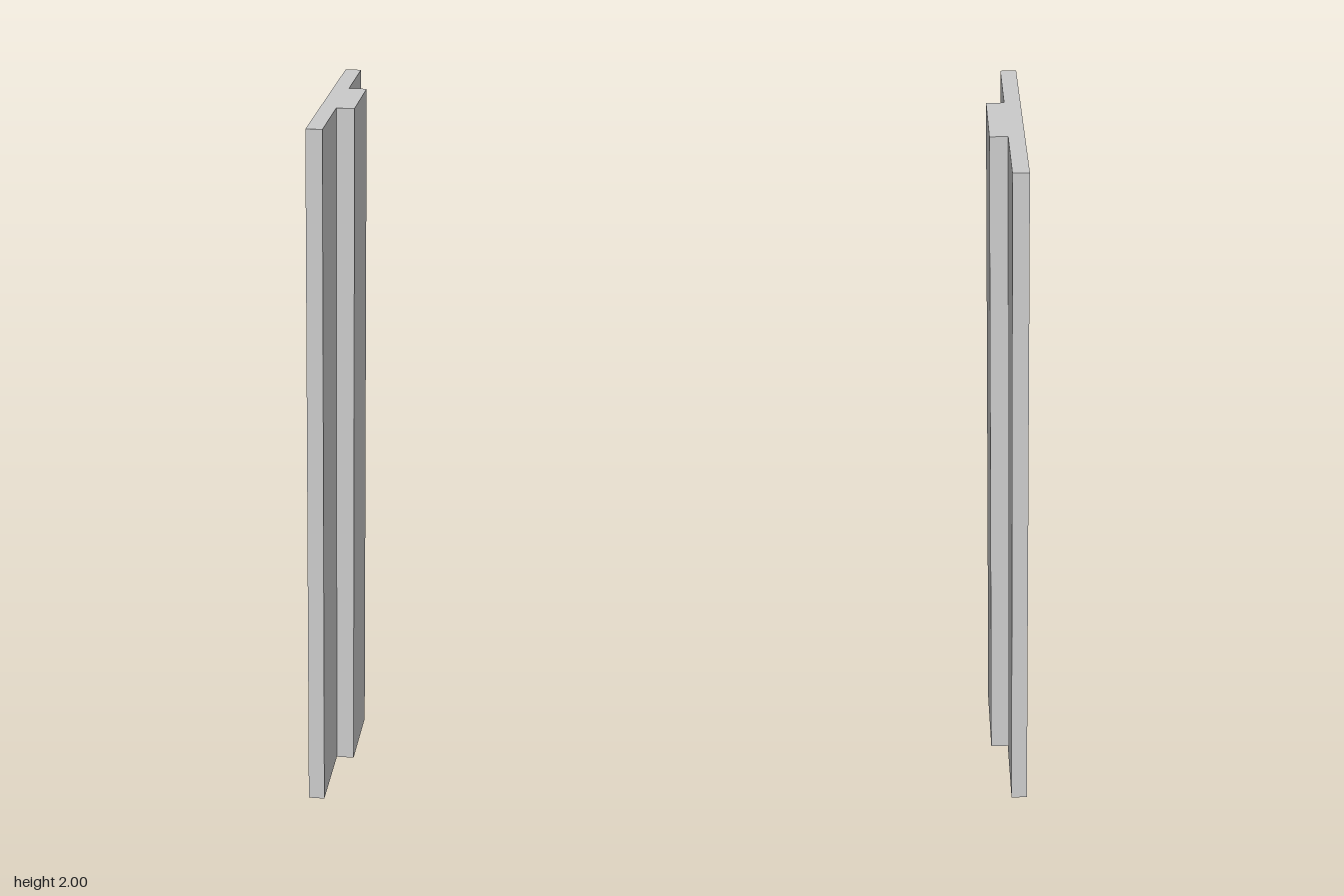
import * as THREE from 'three';

const HEIGHT = 2;
const BACK = -0.0485, FACE = -0.0025, RIB_FACE = 0.0485; // x positions
const PANEL_HALF = 0.4045, RIB_HALF = 0.134; // half widths along z

export function createModel() {
  const group = new THREE.Group();
  group.name = 'ribbedPanel';

  // Plan outline: a flat board with a raised central rib on its +x side
  const outline = new THREE.Shape([
    [BACK, -PANEL_HALF], [FACE, -PANEL_HALF],
    [FACE, -RIB_HALF], [RIB_FACE, -RIB_HALF],
    [RIB_FACE, RIB_HALF], [FACE, RIB_HALF],
    [FACE, PANEL_HALF], [BACK, PANEL_HALF],
  ].map(([x, z]) => new THREE.Vector2(x, z)));

  // Extrude the outline upwards from the ground
  const geometry = new THREE.ExtrudeGeometry(outline, { depth: HEIGHT, bevelEnabled: false });
  geometry.rotateX(-Math.PI / 2);

  const panel = new THREE.Mesh(geometry, new THREE.MeshStandardMaterial({ color: 0xcccccc }));
  panel.name = 'panelWithRib';
  group.add(panel);
  return group;
}
